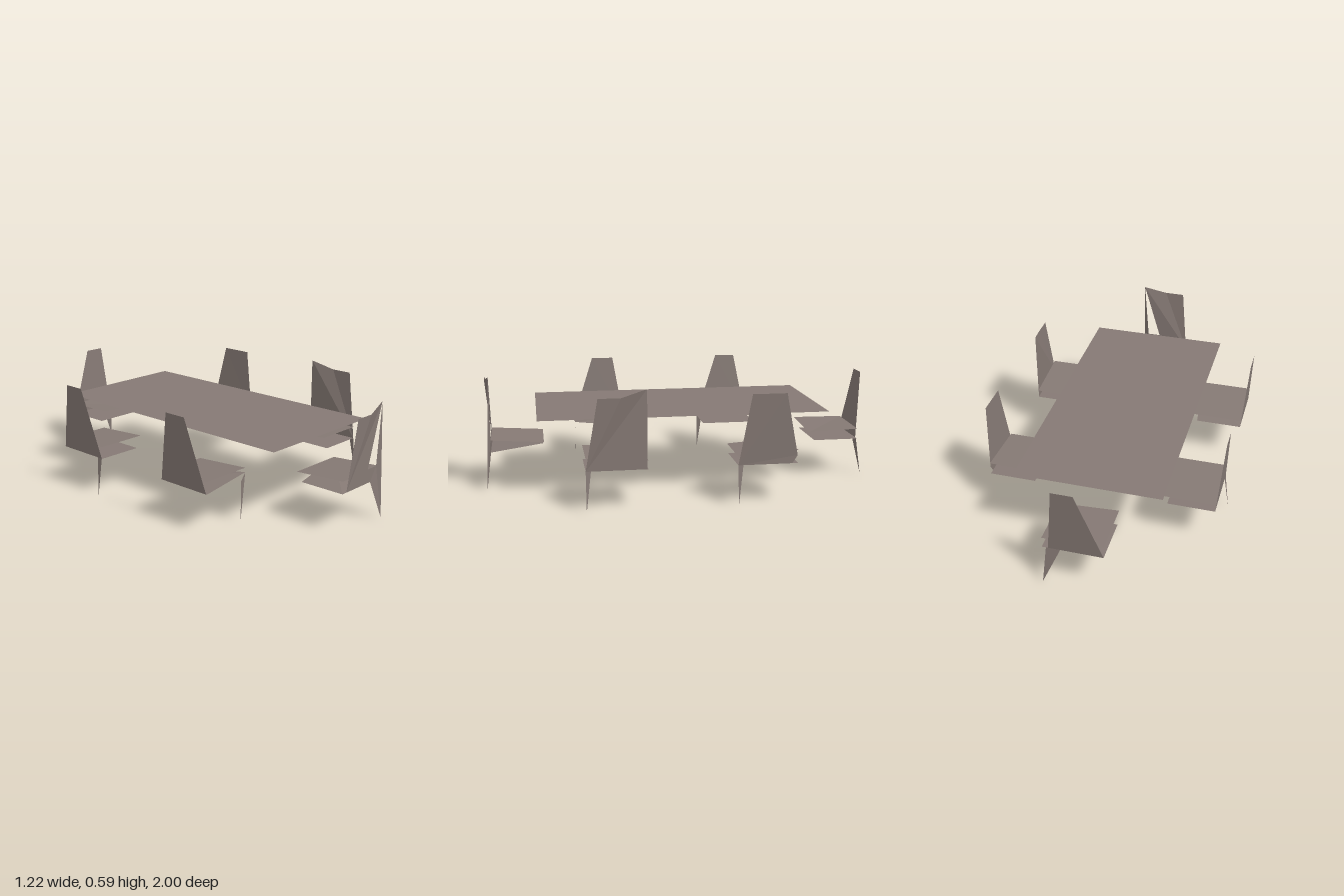
import * as THREE from 'three';

const wood = new THREE.MeshStandardMaterial({ color: 0x857974, side: THREE.DoubleSide });
wood.name = 'greyBrown';

// Thin sheet made of fans of triangles, one fan per outline
function sheet(name, ...outlines) {
  const pos = [];
  for (const o of outlines)
    for (let i = 1; i < o.length - 1; i++) pos.push(...o[0], ...o[i + 1], ...o[i]);
  const geo = new THREE.BufferGeometry();
  geo.setAttribute('position', new THREE.Float32BufferAttribute(pos, 3));
  geo.computeVertexNormals();
  const mesh = new THREE.Mesh(geo, wood);
  mesh.name = name;
  return mesh;
}

// Chair frame: x runs across the width, z from the seat's inner edge out to the backrest
const IN = 0.275, OUT = 0.3, W = 0.15;
const low = (x, y = 0.205) => [x, y, IN];
const top = (x) => [x, 0.56, OUT];
const foot = (x) => [x, 0.008, OUT];
const peak = [0.146, 0.595, IN];

function chair(name, { at, turn, back, legs, seat, raised = 0 }) {
  const g = new THREE.Group();
  g.name = name;
  g.position.set(at[0], 0, at[1]);
  g.rotation.y = turn;
  // seat: heights at inner left, inner right, outer right, outer left
  const [a, b, c, d] = seat;
  g.add(sheet('seat', [[-W, a, 0.005], [W, b, 0.005], [W, c, IN], [-W, d, IN]]));
  // lower seat panel, with one lifted inner corner on some chairs
  const inner = (s) => raised === s ? [s * W, 0.245, 0.005] : [s * W, 0.205, 0.035];
  g.add(sheet('seatUnderside', [low(-W), inner(-1), inner(1), low(W)]));
  g.add(sheet('backrest', ...back));
  if (legs.length) g.add(sheet('legs', ...legs));
  return g;
}

export function createModel() {
  const model = new THREE.Group();
  model.name = 'diningSet';

  // table top
  const t = 0.41;
  model.add(sheet('tableTop', [[-0.37, t, -0.74], [0.37, t, -0.74], [0.37, t, 0.74], [-0.37, t, 0.74]]));

  const q = Math.PI / 2;
  const gapA = low(0.05, 0.275), gapB = low(0.12, 0.275);
  const leftLeg = [low(-W), low(-0.125), foot(-W)];

  const chairs = {
    // open gap between the backrest and its right post
    frontChair: {
      at: [0, 0.7], turn: 0, seat: [0.25, 0.25, 0.268, 0.268], raised: 1,
      back: [[low(-0.12), top(-0.085), top(0.02), peak, gapA], [low(-0.12), gapA, gapB, low(0.12)]],
      legs: [[peak, foot(0.146), gapB], [gapB, foot(0.146), low(0.075)]],
    },
    backChair: {
      at: [0, -0.7], turn: 2 * q, seat: [0.25, 0.268, 0.265, 0.26],
      back: [[low(-0.12), top(-0.085), top(0.02), low(W)]],
      legs: [[low(-0.13), low(-0.06), foot(-0.146)]],
    },
    leftFrontChair: {
      at: [0.31, 0.37], turn: q, seat: [0.27, 0.248, 0.248, 0.27],
      back: [[low(-W), top(-0.09), top(0.02), peak, low(0.146)]],
      legs: [leftLeg],
    },
    leftBackChair: {
      at: [0.31, -0.37], turn: q, seat: [0.248, 0.27, 0.27, 0.248],
      back: [[low(-W), top(-0.09), top(0.08), low(0.146, 0.245), low(0.12)]],
      legs: [leftLeg],
    },
    rightFrontChair: {
      at: [-0.31, 0.37], turn: -q, seat: [0.246, 0.268, 0.268, 0.246], raised: 1,
      back: [[low(-W), top(-0.09), top(0.03), low(0.146)]],
      legs: [[[W, 0.205, 0.035], [W, 0.245, 0.005], [W, 0.005, 0.035]]],
    },
    rightBackChair: {
      at: [-0.31, -0.37], turn: -q, seat: [0.248, 0.268, 0.268, 0.248],
      back: [[low(-W), top(-0.08), top(0.03), low(0.146)]],
      legs: [[low(0.146), low(0.115), foot(0.14)]],
    },
  };
  for (const [name, spec] of Object.entries(chairs)) model.add(chair(name, spec));
  return model;
}
